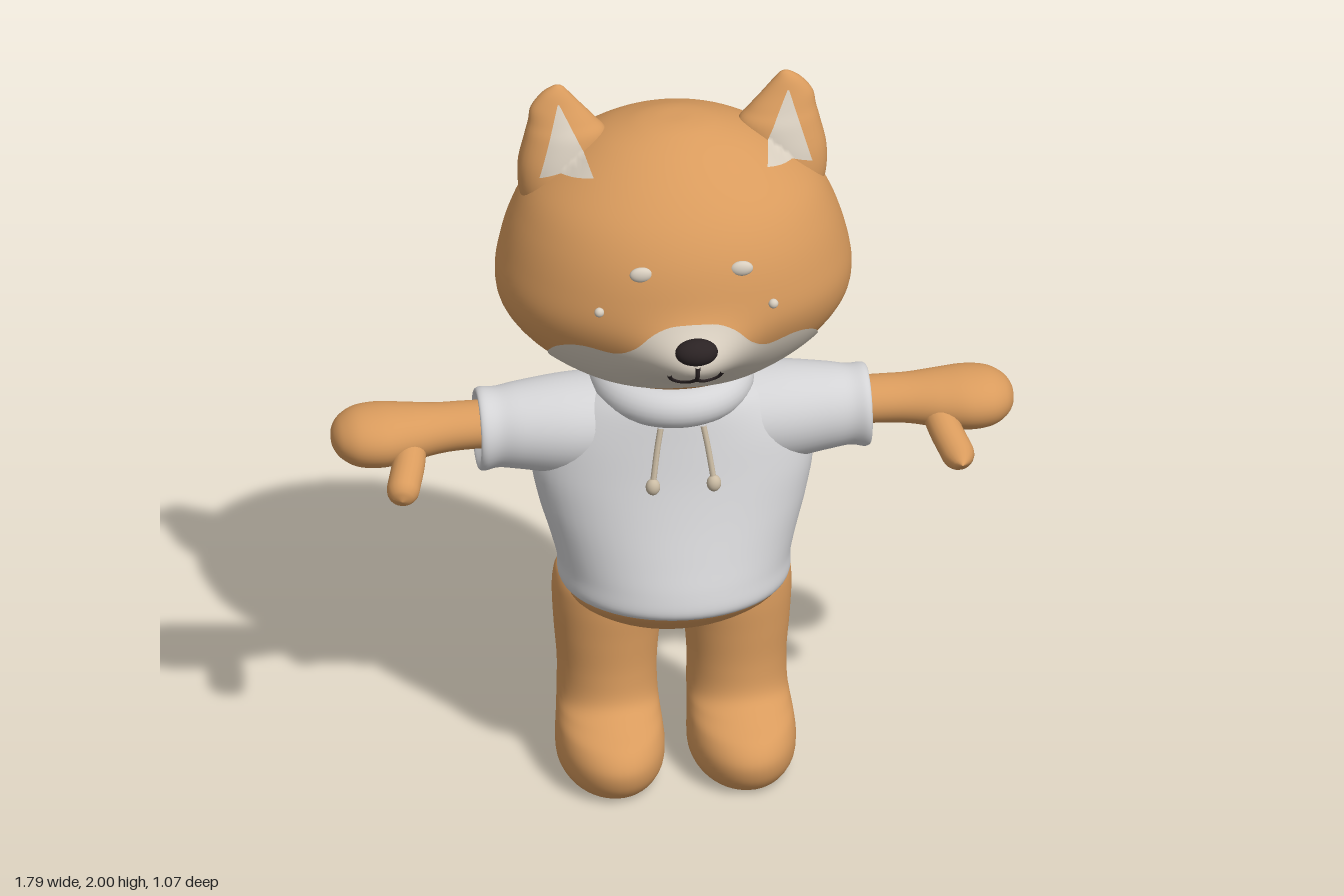
import * as THREE from 'three';

const mat = (name, color) => Object.assign(new THREE.MeshStandardMaterial({ color }), { name });
const V = (x, y, z) => new THREE.Vector3(x, y, z);

// Smooth interpolation through rows of numbers, s in row units
function sample(rows, s) {
  const n = rows.length - 1, i = Math.min(Math.floor(s), n - 1), t = s - i;
  const r = k => rows[Math.max(0, Math.min(n, k))];
  return rows[0].map((_, k) => {
    const a = r(i - 1)[k], b = r(i)[k], c = r(i + 1)[k], d = r(i + 2)[k];
    return b + 0.5 * t * (c - a + t * (2 * a - 5 * b + 4 * c - d + t * (3 * (b - c) + d - a)));
  });
}

// Row found by its first number
function rowAt(rows, key) {
  let lo = 0, hi = rows.length - 1;
  for (let k = 0; k < 30; k++) {
    const m = (lo + hi) / 2;
    if (sample(rows, m)[0] < key) lo = m; else hi = m;
  }
  return sample(rows, lo);
}

// Oval cross-sections [y, half x, half z, centre x, centre z], closed at both ends
function loft(rows, segs = 40, steps = 6) {
  const rings = [], n = (rows.length - 1) * steps;
  for (let i = 0; i <= n; i++) rings.push(sample(rows, i / steps));
  const cap = ([y, , , cx, cz]) => [y, 0, 0, cx, cz];
  rings.unshift(cap(rings[0]));
  rings.push(cap(rings[rings.length - 1]));
  const pos = [], idx = [];
  rings.forEach(([y, a, b, cx, cz], i) => {
    for (let j = 0; j < segs; j++) {
      const q = j / segs * Math.PI * 2;
      pos.push(cx + Math.max(0, a) * Math.cos(q), y, cz + Math.max(0, b) * Math.sin(q));
      if (i === rings.length - 1) continue;
      const p = i * segs + j, r = i * segs + (j + 1) % segs;
      idx.push(p, p + segs, r, r, p + segs, r + segs);
    }
  });
  return build(pos, idx);
}

function build(pos, idx) {
  const g = new THREE.BufferGeometry();
  g.setAttribute('position', new THREE.Float32BufferAttribute(pos, 3));
  g.setIndex(idx);
  g.computeVertexNormals();
  return g;
}

// Thin sheet facing +z, from a rule f(u, v)
function sheet(nu, nv, f) {
  const pos = [], idx = [];
  for (let j = 0; j <= nv; j++) for (let i = 0; i <= nu; i++) {
    pos.push(...f(i / nu, j / nv));
    if (i === nu || j === nv) continue;
    const a = j * (nu + 1) + i, c = a + nu + 1;
    idx.push(a, a + 1, c, a + 1, c + 1, c);
  }
  return build(pos, idx);
}

// Tube with a radius that follows a rule r(t)
function tube(points, r, segs = 40, sides = 20) {
  const curve = new THREE.CatmullRomCurve3(points);
  const g = new THREE.TubeGeometry(curve, segs, 1, sides), p = g.attributes.position;
  for (let i = 0; i <= segs; i++) {
    const c = curve.getPointAt(i / segs);
    for (let j = 0; j <= sides; j++) {
      const k = i * (sides + 1) + j, v = V().fromBufferAttribute(p, k);
      v.sub(c).multiplyScalar(r(i / segs)).add(c);
      p.setXYZ(k, v.x, v.y, v.z);
    }
  }
  return g;
}
const roundEnd = (t, from) => Math.sqrt(Math.max(0, 1 - (Math.max(0, t - from) / (1 - from)) ** 2));

// Head profile, given as [y, half width, front z, back z]
const HEAD = [
  [1.155, 0, .05, .05], [1.165, .1, .15, -.06], [1.19, .19, .22, -.13], [1.24, .295, .295, -.2],
  [1.31, .39, .36, -.275], [1.39, .45, .41, -.325], [1.47, .465, .44, -.35], [1.56, .45, .435, -.35],
  [1.65, .42, .41, -.325], [1.73, .375, .365, -.28], [1.8, .3, .3, -.215], [1.86, .21, .22, -.13],
  [1.895, .12, .15, -.05], [1.908, .055, .1, 0], [1.91, 0, .05, .05],
].map(([y, w, f, b]) => [y, w, (f - b) / 2, 0, (f + b) / 2]);
const EAR = [
  [1.62, .07, .06, .3, .02], [1.7, .098, .08, .302, .025], [1.78, .107, .082, .298, .022],
  [1.86, .108, .066, .28, .02], [1.9, .089, .05, .289, .017], [1.94, .067, .036, .303, .013],
  [1.975, .038, .024, .305, .01], [1.995, .015, .01, .3, .01], [2, 0, 0, .3, .01],
];
const muzzle = (x, y) => .1 * Math.exp(-((x / .13) ** 2) - ((y - 1.395) / .082) ** 2);
function frontZ(rows, x, y) {
  const [, a, b, cx, cz] = rowAt(rows, y), k = 1 - ((x - cx) / a) ** 2;
  return k > 0 ? cz + b * Math.sqrt(k) : -1;
}
const faceZ = (x, y) => frontZ(HEAD, x, y) + muzzle(x, y);

export function createModel() {
  const fur = mat('tanFur', 0xd99b5d), cream = mat('creamFur', 0xd8cebf), cloth = mat('greyCloth', 0xd3d3d5);
  const dark = mat('darkNose', 0x2b2324), cord = mat('beigeCord', 0xcbbca4);
  const model = new THREE.Group();
  model.name = 'dogInHoodie';
  const add = (name, g, m, parent = model) => {
    const mesh = new THREE.Mesh(g, m);
    mesh.name = name;
    parent.add(mesh);
    return mesh;
  };
  const pair = (name, g, m) => {
    add(name + 'Left', g, m);
    const h = g.clone().scale(-1, 1, 1), ix = h.index.array;
    for (let i = 0; i < ix.length; i += 3) [ix[i], ix[i + 1]] = [ix[i + 1], ix[i]];
    h.computeVertexNormals();
    add(name + 'Right', h, m);
  };
  const ball = (x, y, z, a, b, c) => new THREE.SphereGeometry(1, 28, 18).scale(a, b, c).translate(x, y, z);

  // Head with the muzzle pushed forward
  const head = loft(HEAD, 72, 7), hp = head.attributes.position;
  for (let i = 0; i < hp.count; i++)
    if (hp.getZ(i) > .05) hp.setZ(i, hp.getZ(i) + muzzle(hp.getX(i), hp.getY(i)));
  head.computeVertexNormals();
  add('head', head, fur);

  // Cream muzzle and cheeks, outline as [x, top, bottom]
  const mask = [[0, 1.512, 1.245], [.06, 1.507, 1.24], [.11, 1.482, 1.236], [.155, 1.435, 1.236], [.2, 1.407, 1.24],
    [.27, 1.412, 1.25], [.31, 1.402, 1.265], [.34, 1.375, 1.3], [.352, 1.335, 1.334]];
  add('muzzlePatch', sheet(72, 24, (u, v) => {
    const x = .352 * Math.sin((u - .5) * Math.PI), [, top, low] = rowAt(mask, Math.abs(x));
    const y = low + (top - low) * v;
    return [x * 1.008, y, faceZ(x, y) + .008];
  }), cream);

  // Ears and their inner faces
  pair('ear', loft(EAR, 32, 6), fur);
  pair('innerEar', sheet(12, 16, (u, v) => {
    const k = v * .97, x = (.228 + .13 * u) * (1 - k) + .302 * k, y = (1.815 - .04 * u) * (1 - k) + 1.965 * k;
    return [x, y, Math.max(frontZ(EAR, x, y), frontZ(HEAD, x, y)) + .007];
  }), cream);

  // Nose, mouth and face spots
  add('nose', ball(0, 1.45, .498, .056, .036, .038), dark);
  const onFace = (x, y) => V(x, y, faceZ(x, y) + .01);
  add('mouthLine', tube([onFace(0, 1.42), onFace(0, 1.395), onFace(0, 1.372)], () => .006, 8, 8), dark);
  pair('mouthCurve', tube([[0, 1.374], [.018, 1.355], [.042, 1.35], [.062, 1.362], [.07, 1.382]]
    .map(p => onFace(...p)), () => .006, 20, 8), dark);
  pair('browSpot', ball(.132, 1.635, faceZ(.132, 1.635), .03, .021, .014), cream);
  for (const x of [-.24, .215]) add('cheekSpot', ball(x, 1.525, faceZ(x, 1.525) + .004, .013, .013, .012), cream);

  // Hoodie body, given as [y, half width, front z, back z]
  add('hoodieBody', loft([
    [.57, .26, .29, -.19], [.558, .288, .318, -.213], [.58, .303, .335, -.226], [.63, .305, .325, -.222],
    [.7, .323, .3, -.216], [.8, .352, .265, -.205], [.9, .368, .235, -.195], [1, .345, .212, -.185],
    [1.08, .28, .195, -.172], [1.125, .21, .18, -.16], [1.16, .15, .15, -.13],
  ].map(([y, w, f, b]) => [y, w, (f - b) / 2, 0, (f + b) / 2]), 56), cloth);

  // Sleeves and arms run along x: [x, half y, half z, -centre y, centre z]
  pair('sleeve', loft([
    [.15, .13, .15, -1.0, .01], [.28, .13, .14, -1.0, .015], [.4, .115, .118, -1.005, .02], [.46, .107, .104, -1.005, .022],
    [.5, .111, .107, -1.003, .024], [.513, .1, .097, -1.003, .024], [.495, .075, .08, -1.005, .02],
  ]).rotateZ(-Math.PI / 2), cloth);
  pair('arm', loft([
    [.38, .06, .072, -1.01, .012], [.54, .061, .073, -1.01, .012], [.62, .064, .078, -1.008, .015], [.7, .074, .096, -1.004, .018],
    [.77, .079, .109, -1.003, .02], [.83, .073, .1, -1.003, .021], [.87, .052, .072, -1.003, .021],
    [.89, .026, .036, -1.003, .021], [.895, 0, 0, -1.003, .021],
  ]).rotateZ(-Math.PI / 2), fur);
  pair('thumb', tube([V(.69, .99, .05), V(.705, .96, .12), V(.728, .925, .19), V(.735, .91, .225)],
    t => .043 * roundEnd(t, .78), 30), fur);

  // Collar and hood lying on the back
  add('collar', new THREE.TorusGeometry(.162, .054, 24, 56).rotateX(Math.PI / 2)
    .scale(1, 1, 1.02).rotateX(.05).translate(0, 1.12, .01), cloth);
  add('hood', loft([
    [.762, 0, 0, 0, -.19], [.772, .07, .03, 0, -.19], [.8, .125, .05, 0, -.196], [.86, .158, .06, 0, -.195],
    [.94, .168, .064, 0, -.19], [1.02, .188, .072, 0, -.178], [1.1, .2, .08, 0, -.16], [1.155, .17, .07, 0, -.145],
    [1.182, .1, .035, 0, -.145], [1.185, 0, 0, 0, -.145],
  ], 44), cloth);

  // Drawstrings
  pair('drawstring', tube([V(.056, 1.075, .215), V(.066, 1.02, .225), V(.08, .925, .242)], () => .008, 12, 10), cord);
  pair('drawstringEnd', ball(.08, .918, .243, .019, .023, .018), cord);

  // Hips, legs and feet
  add('hips', loft([
    [.405, 0, 0, 0, .01], [.415, .09, .07, 0, .01], [.445, .18, .145, 0, .012], [.49, .25, .195, 0, .03],
    [.54, .285, .232, 0, .045], [.6, .28, .235, 0, .045],
  ], 48), fur);
  pair('leg', loft([
    [.004, .08, .14, .172, .085], [.012, .112, .178, .172, .086], [.05, .136, .208, .172, .087], [.1, .141, .215, .172, .088],
    [.145, .138, .2, .172, .073], [.18, .134, .166, .171, .043], [.22, .131, .139, .17, .016], [.3, .13, .132, .17, .012],
    [.4, .138, .136, .17, .013], [.49, .146, .142, .167, .013], [.55, .138, .138, .172, .01], [.585, .105, .1, .19, .005],
    [.602, .045, .05, .2, 0],
  ], 44), fur);

  // Curled tail with a cream tip
  add('tail', tube([V(0, .51, -.05), V(0, .497, -.17), V(.005, .503, -.29), V(.015, .55, -.395), V(.03, .64, -.46),
    V(.042, .735, -.463), V(.053, .795, -.418), V(.058, .818, -.355)], () => .063, 60), fur);
  add('tailTip', tube([V(.058, .818, -.357), V(.06, .8, -.318), V(.06, .75, -.292), V(.06, .69, -.29), V(.06, .648, -.293)],
    t => (.064 - .012 * t) * roundEnd(t, .72), 40), cream);

  return model;
}
